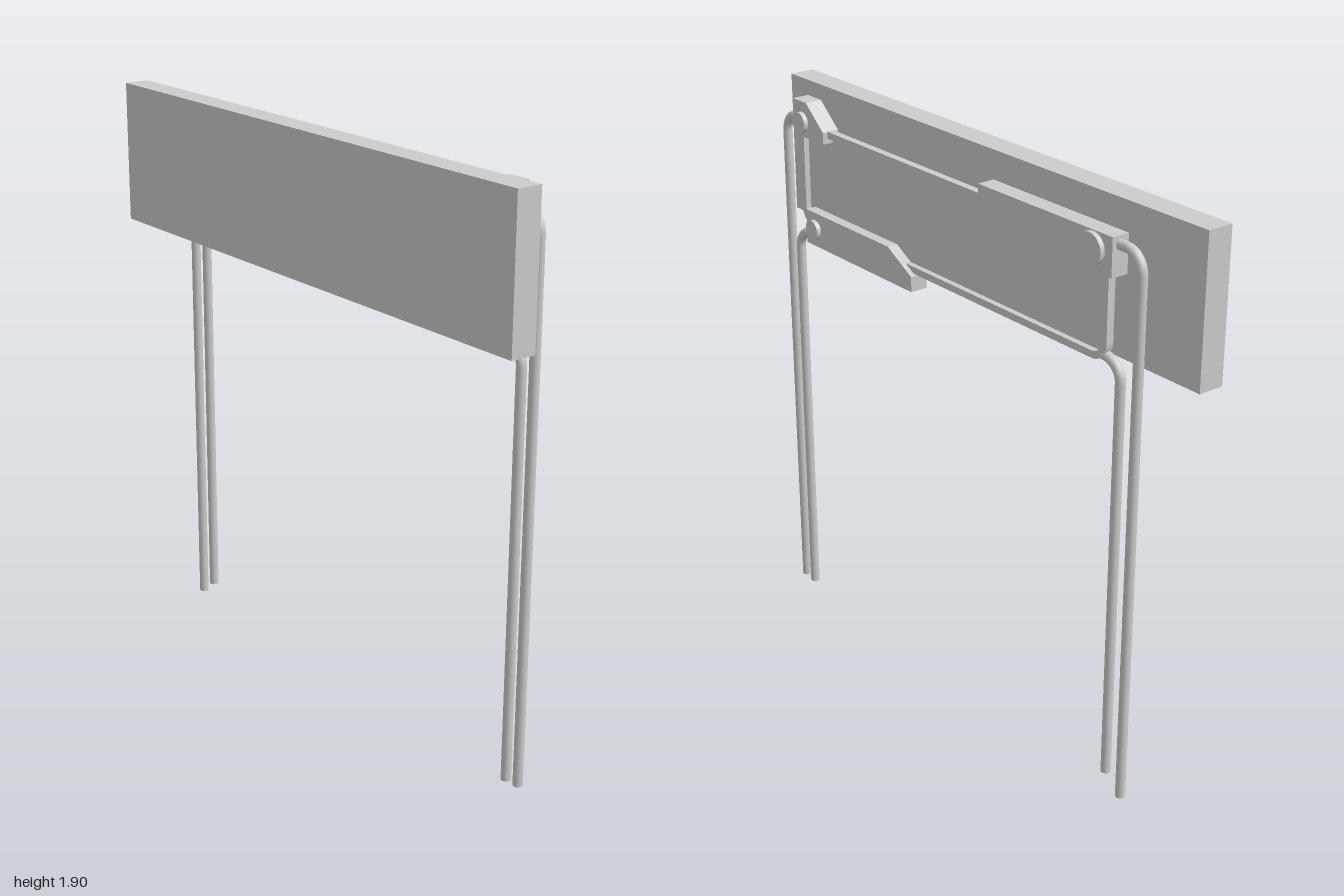
import * as THREE from 'three';

const ROD_X = 0.057;
const material = new THREE.MeshStandardMaterial({ color: 0xcccccc });

function add(parent, name, geometry) {
  const mesh = new THREE.Mesh(geometry, material);
  mesh.name = name;
  parent.add(mesh);
  return mesh;
}

// Side-on shape (drawn in -z, y) extruded along x from x0 to x1
function addPlate(parent, name, shape, x0, x1) {
  const plate = new THREE.ExtrudeGeometry(shape, { depth: x1 - x0, bevelEnabled: false, curveSegments: 6 });
  add(parent, name, plate.rotateY(Math.PI / 2)).position.x = x0;
}

// Rounded rectangle between z0 < z1 and y0 < y1
function roundedRect(z0, z1, y0, y1, r) {
  const [a, b] = [-z1, -z0];
  const s = new THREE.Shape();
  s.absarc(b - r, y0 + r, r, -Math.PI / 2, 0);
  s.absarc(b - r, y1 - r, r, 0, Math.PI / 2);
  s.absarc(a + r, y1 - r, r, Math.PI / 2, Math.PI);
  s.absarc(a + r, y0 + r, r, Math.PI, Math.PI * 1.5);
  s.closePath();
  return s;
}

// Leg: rises from the foot, then bends inward to the frame
function addLeg(parent, name, z, foot, top, innerZ) {
  const r = 0.016, bend = 0.065, dir = Math.sign(innerZ - z);
  const at = (pz, py) => new THREE.Vector3(ROD_X, py, pz);
  const [a, b] = [at(z, top - bend), at(z + dir * bend, top)];
  const path = new THREE.CurvePath();
  path.add(new THREE.LineCurve3(at(z, foot), a));
  path.add(new THREE.CubicBezierCurve3(a, at(z, top - bend * 0.45), at(z + dir * bend * 0.45, top), b));
  path.add(new THREE.LineCurve3(b, at(innerZ, top)));

  const leg = new THREE.Group();
  leg.name = name;
  add(leg, 'legRod', new THREE.TubeGeometry(path, 160, r, 16));
  add(leg, 'footCap', new THREE.CircleGeometry(r, 16).rotateX(Math.PI / 2)).position.set(ROD_X, foot, z);
  const end = add(leg, 'innerCap', new THREE.CircleGeometry(r, 16));
  end.position.set(ROD_X, top, innerZ);
  if (dir < 0) end.rotation.y = Math.PI;
  parent.add(leg);
}

// Clamp: flat plate cut to a [z, y] outline, with a round bolt on its outer face
function addClamp(parent, name, outline, [boltZ, boltY, boltR]) {
  const clamp = new THREE.Group();
  clamp.name = name;
  const shape = new THREE.Shape(outline.map(([z, y]) => new THREE.Vector2(-z, y)));
  addPlate(clamp, 'clampPlate', shape, 0.027, 0.087);
  const bolt = new THREE.CylinderGeometry(boltR, boltR, 0.025, 28).rotateZ(Math.PI / 2);
  add(clamp, 'boltHead', bolt).position.set(0.0905, boltY, boltZ);
  parent.add(clamp);
}

export function createModel() {
  const model = new THREE.Group();
  model.name = 'wallPanel';

  // Backing board
  add(model, 'backBoard', new THREE.BoxGeometry(0.087, 0.478, 2)).position.set(-0.0615, 1.661, 0);

  // Raised rim around a thin recessed pane
  const [z0, z1, y0, y1, w] = [-0.711, 0.828, 1.436, 1.792, 0.023];
  const rim = roundedRect(z0, z1, y0, y1, 0.06);
  const opening = roundedRect(z0 + w, z1 - w, y0 + w, y1 - w, 0.037);
  rim.holes.push(opening);
  addPlate(model, 'paneRim', rim, 0.044, 0.07);
  addPlate(model, 'pane', opening, 0.044, 0.05);

  // Standoffs between board and pane
  for (const z of [0.71, -0.56]) {
    const pin = new THREE.CylinderGeometry(0.015, 0.015, 0.066, 16).rotateZ(Math.PI / 2);
    add(model, 'standoff', pin).position.set(0.013, 1.596, z);
  }

  // Four bent legs
  addLeg(model, 'frontOuterLeg', 0.92, 0.005, 1.801, 0.8);
  addLeg(model, 'frontInnerLeg', 0.866, 0, 1.401, 0.75);
  addLeg(model, 'backOuterLeg', -0.831, 0, 1.803, -0.72);
  addLeg(model, 'backInnerLeg', -0.761, 0.055, 1.456, -0.69);

  // Clamps
  addClamp(model, 'upperFrontClamp',
    [[0.835, 1.751], [0.663, 1.751], [0.663, 1.79], [0.758, 1.87], [0.835, 1.87]], [0.784, 1.8, 0.035]);
  addClamp(model, 'upperBackClamp',
    [[-0.15, 1.83], [-0.15, 1.784], [-0.285, 1.709], [-0.74, 1.709], [-0.74, 1.83]], [-0.66, 1.777, 0.05]);
  addClamp(model, 'lowerFrontClamp',
    [[0.78, 1.38], [0.189, 1.38], [0.189, 1.431], [0.313, 1.498], [0.78, 1.498]], [0.73, 1.439, 0.034]);

  return model;
}
